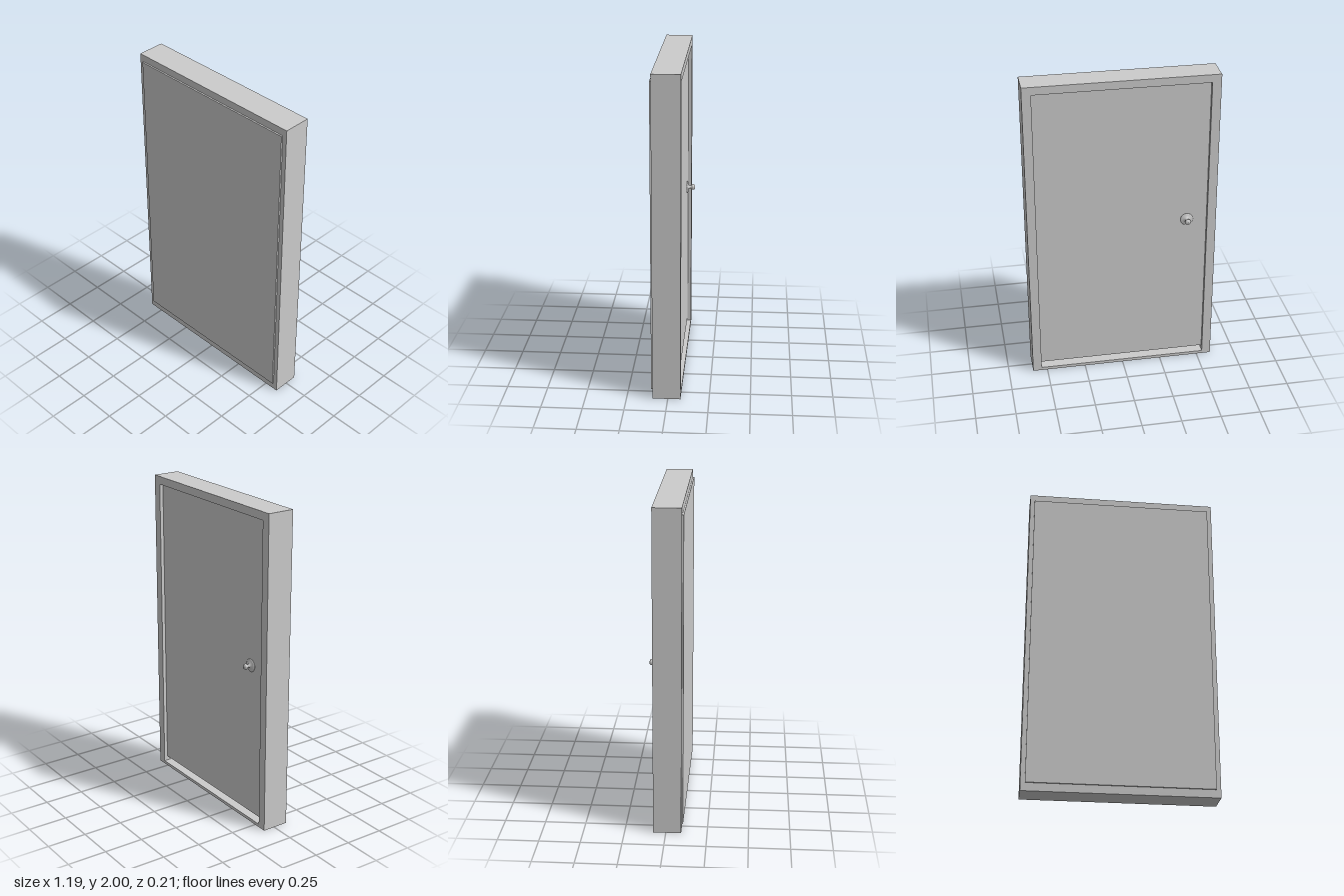
import * as THREE from 'three';

const material = new THREE.MeshStandardMaterial({ color: 0xcccccc });

// Box given by its extents along each axis
function block(name, x0, x1, y0, y1, z0, z1) {
  const mesh = new THREE.Mesh(new THREE.BoxGeometry(x1 - x0, y1 - y0, z1 - z0), material);
  mesh.name = name;
  mesh.position.set((x0 + x1) / 2, (y0 + y1) / 2, (z0 + z1) / 2);
  return mesh;
}

export function createModel() {
  const model = new THREE.Group();
  model.name = 'door';
  const W = 0.593, back = -0.077, front = 0.093;
  const openX = 0.537, openTop = 1.95, sillTop = 0.02;

  // Frame: one outline with a rectangular opening
  const outline = new THREE.Shape([[-W, 0], [W, 0], [W, 2], [-W, 2]].map(p => new THREE.Vector2(...p)));
  outline.holes.push(new THREE.Path([
    [-openX, sillTop], [-openX, openTop], [openX, openTop], [openX, sillTop],
  ].map(p => new THREE.Vector2(...p))));
  const frame = new THREE.Mesh(
    new THREE.ExtrudeGeometry(outline, { depth: front - back, bevelEnabled: false }), material);
  frame.name = 'frame';
  frame.position.z = back;
  model.add(frame);

  // Threshold closing the gap under the door, flush with the frame's front
  model.add(block('threshold', -openX, openX, sillTop, 0.05, 0.06, front));

  // Door leaf, recessed at the back and slightly proud at the front
  model.add(block('doorLeaf', -0.565, 0.565, 0.05, 1.955, -0.054, 0.103));

  // Turned knob with its round plate, on the back only
  const profile = [
    [0, 0], [0.04, 0], [0.04, 0.004], [0.034, 0.009], [0.012, 0.011], [0.009, 0.026],
    [0.012, 0.03], [0.018, 0.037], [0.018, 0.044], [0.013, 0.052], [0, 0.053],
  ].map(p => new THREE.Vector2(...p));
  const knob = new THREE.Mesh(new THREE.LatheGeometry(profile, 20), material);
  knob.name = 'knob';
  knob.rotation.x = -Math.PI / 2;
  knob.position.set(-0.41, 1.03, -0.054);
  model.add(knob);

  return model;
}
